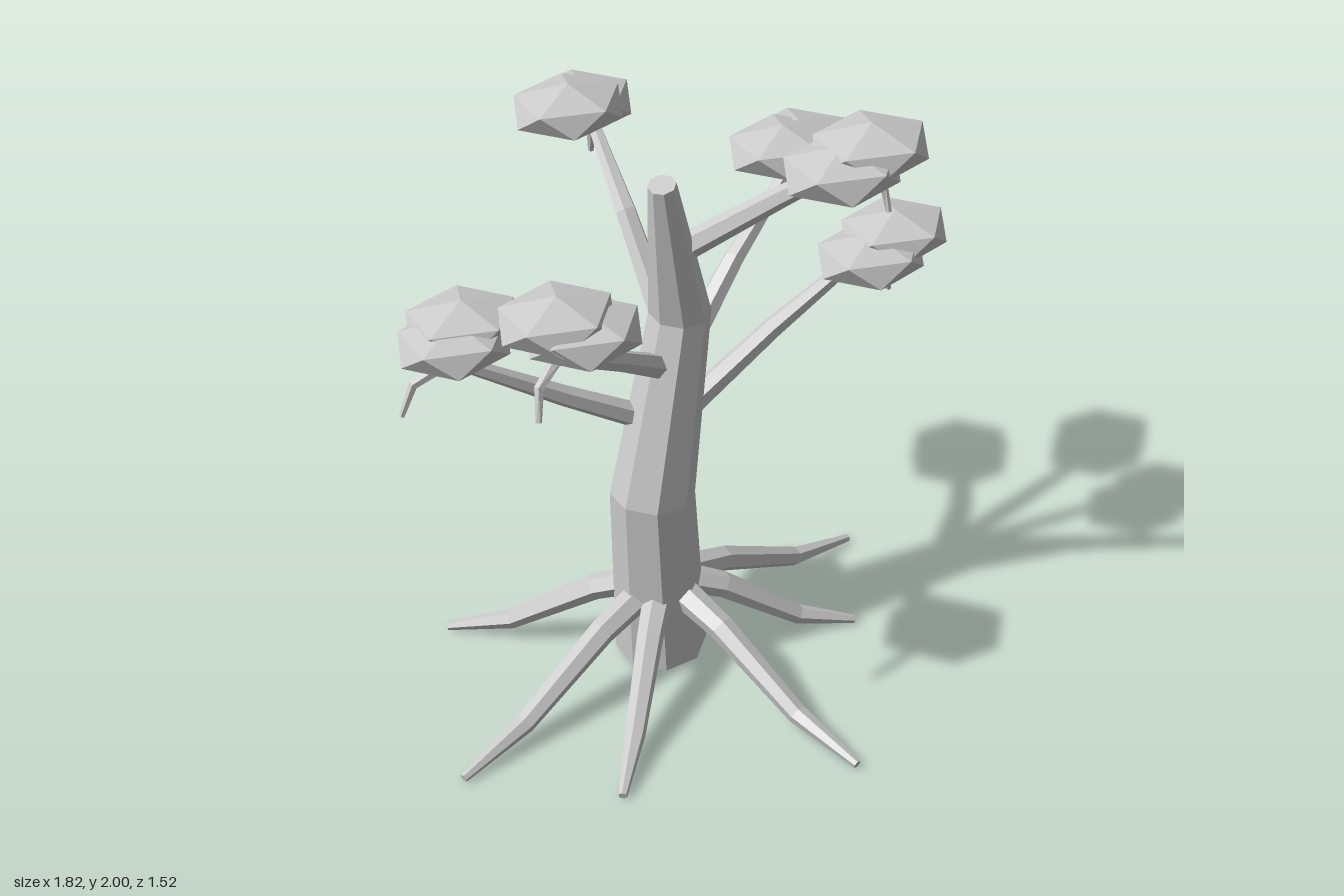
import * as THREE from 'three';

const V = (p) => new THREE.Vector3(...p);
const UP = new THREE.Vector3(0, 1, 0);
const material = new THREE.MeshStandardMaterial({ color: 0xcccccc, flatShading: true });

// Faceted limb: one ring per point, square to the path, with closed ends
function limb(name, path, radii, sides) {
  const pts = path.map(V);
  const rings = pts.map((p, i) => {
    const dir = pts[Math.min(i + 1, pts.length - 1)].clone().sub(pts[Math.max(i - 1, 0)]).normalize();
    const q = new THREE.Quaternion().setFromUnitVectors(UP, dir);
    return Array.from({ length: sides }, (_, k) => {
      const a = ((k + 0.5) / sides) * Math.PI * 2;
      return new THREE.Vector3(Math.sin(a), 0, Math.cos(a)).multiplyScalar(radii[i]).applyQuaternion(q).add(p);
    });
  });
  const tris = [];
  const last = rings.length - 1;
  for (let k = 0; k < sides; k++) {
    const n = (k + 1) % sides;
    for (let i = 0; i < last; i++) {
      const a = rings[i][k], b = rings[i][n], c = rings[i + 1][n], d = rings[i + 1][k];
      tris.push(a, b, c, a, c, d);
    }
    tris.push(pts[0], rings[0][n], rings[0][k], pts[last], rings[last][k], rings[last][n]);
  }
  const geometry = new THREE.BufferGeometry().setFromPoints(tris);
  geometry.computeVertexNormals();
  const mesh = new THREE.Mesh(geometry, material);
  mesh.name = name;
  return mesh;
}

// Flattened icosahedron standing on one vertex
const leafGeometry = new THREE.IcosahedronGeometry(1, 0)
  .rotateZ(-Math.atan(2 / (1 + Math.sqrt(5))))
  .scale(0.19, 0.077, 0.165);

function leafClump(position) {
  const mesh = new THREE.Mesh(leafGeometry, material);
  mesh.name = 'leafClump';
  mesh.position.set(...position);
  return mesh;
}

// Each bough: branch path, drooping twig (from the branch end), two leaf clumps
const boughs = [
  { branch: [[-0.08, 0.87, -0.08], [-0.36, 1.03, -0.12], [-0.7, 1.24, -0.17]],
    twig: [[-0.82, 1.19, -0.18], [-0.86, 1.09, -0.185]],
    leaves: [[-0.68, 1.285, -0.19], [-0.63, 1.31, -0.24]] },
  { branch: [[-0.03, 1.05, -0.07], [-0.28, 1.24, 0.07], [-0.56, 1.44, 0.24]],
    twig: [[-0.64, 1.39, 0.28], [-0.66, 1.3, 0.31]],
    leaves: [[-0.53, 1.525, 0.18], [-0.47, 1.49, 0.225]] },
  { branch: [[-0.04, 1.2, -0.08], [-0.04, 1.47, -0.32], [-0.01, 1.63, -0.57]],
    twig: [[0.01, 1.58, -0.63], [0.02, 1.5, -0.655]],
    leaves: [[-0.1, 1.725, -0.565], [-0.035, 1.69, -0.63]] },
  { branch: [[0, 1.48, -0.04], [0.21, 1.68, 0.14], [0.37, 1.84, 0.3]],
    twig: [[0.42, 1.78, 0.35], [0.43, 1.69, 0.375]],
    leaves: [[0.355, 1.923, 0.38], [0.25, 1.89, 0.4]] },
  { branch: [[0.01, 1.06, -0.08], [0.27, 1.27, -0.21], [0.53, 1.44, -0.33]],
    twig: [[0.6, 1.4, -0.37], [0.625, 1.32, -0.39]],
    leaves: [[0.525, 1.515, -0.355], [0.615, 1.485, -0.415]] },
  { branch: [[0, 0.86, -0.08], [0.33, 1.07, -0.08], [0.62, 1.25, -0.06]],
    twig: [[0.71, 1.2, -0.07], [0.75, 1.09, -0.07]],
    leaves: [[0.735, 1.32, -0.035], [0.63, 1.285, 0]] },
];

// Ground position (x, z) of each root tip
const rootTips = [
  [-0.91, 0.215], [-0.64, -0.46], [0.24, -0.65], [0.73, -0.215],
  [0.52, 0.16], [0.155, 0.75], [-0.53, 0.52],
];
// Root profile: fraction of the way out, height, radius
const rootProfile = [[0.06, 0.29, 0.05], [0.31, 0.23, 0.042], [0.7, 0.07, 0.032], [1, 0.018, 0.014]];

export function createModel() {
  const tree = new THREE.Group();
  tree.name = 'tree';

  tree.add(limb('trunk',
    [[-0.08, 0.025, -0.05], [-0.115, 0.64, -0.035], [0.005, 1.24, -0.075], [-0.1, 1.745, 0.01]],
    [0.145, 0.132, 0.095, 0.042], 8));

  for (const [x, z] of rootTips) {
    const path = rootProfile.map(([t, y]) => [
      THREE.MathUtils.lerp(-0.08, x, t), y, THREE.MathUtils.lerp(-0.04, z, t)]);
    tree.add(limb('root', path, rootProfile.map((p) => p[2]), 6));
  }

  for (const { branch, twig, leaves } of boughs) {
    const bough = new THREE.Group();
    bough.name = 'bough';
    bough.add(limb('branch', branch, [0.042, 0.033, 0.021], 6));
    bough.add(limb('twig', [branch[2], ...twig], [0.018, 0.015, 0.009], 5));
    leaves.forEach((p) => bough.add(leafClump(p)));
    tree.add(bough);
  }
  return tree;
}
